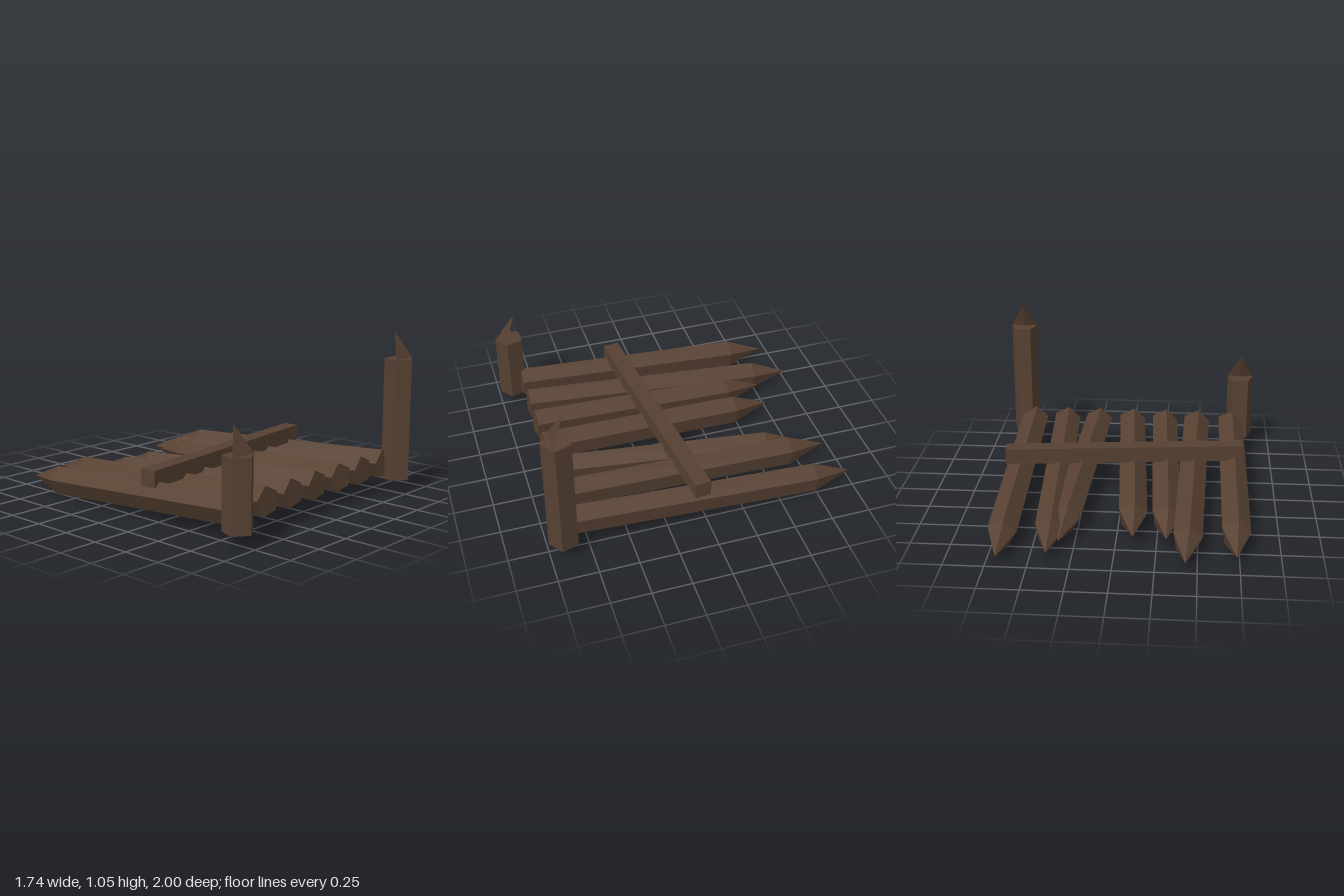
import * as THREE from 'three';

const SIDES = 5, R = 0.094;

export function createModel() {
  const model = new THREE.Group();
  const wood = new THREE.MeshStandardMaterial({ color: 0x574132, flatShading: true });
  const add = (parent, geometry, name) => {
    const mesh = new THREE.Mesh(geometry, wood);
    mesh.name = name;
    parent.add(mesh);
    return mesh;
  };

  // Fallen sharpened stakes: front x, tip x, tip z
  const stakes = [
    [-0.715, -0.73, -0.925], [-0.472, -0.43, -1.0], [-0.24, -0.312, -0.75],
    [-0.005, -0.108, -0.735], [0.235, 0.335, -0.81], [0.468, 0.393, -0.94],
    [0.705, 0.683, -1.0],
  ];
  const frontZ = 0.86, frontY = 0.195, slope = 0.067, tipLength = 0.26, roll = -0.17;
  for (const [x, tipX, tipZ] of stakes) {
    const front = new THREE.Vector3(x, frontY, frontZ);
    const tip = new THREE.Vector3(tipX, frontY - slope * (frontZ - tipZ), tipZ);
    const body = front.distanceTo(tip) - tipLength;
    const stake = new THREE.Group();
    stake.name = 'fallenStake';
    add(stake, new THREE.CylinderGeometry(R, R, body, SIDES, 1, false, roll)
      .translate(0, body / 2, 0).rotateX(-Math.PI / 2), 'stakeShaft');
    add(stake, new THREE.ConeGeometry(R, tipLength, SIDES, 1, true, roll)
      .translate(0, body + tipLength / 2, 0).rotateX(-Math.PI / 2), 'stakePoint');
    stake.position.copy(front);
    stake.lookAt(front.clone().multiplyScalar(2).sub(tip));
    model.add(stake);
  }

  // Cross rail lying over the stakes
  const rail = add(model, new THREE.BoxGeometry(1.57, 0.105, 0.103), 'crossRail');
  rail.position.set(0, 0.268, 0.113);
  rail.rotation.y = 0.106;

  // Thin splinter leaning back from a snapped post top
  const splinter = () => {
    const l = [-0.09, 0, 0.036], r = [0.09, 0, 0.036], b = [0, 0, 0.016], t = [0, 0.172, -0.044];
    const geometry = new THREE.BufferGeometry();
    geometry.setAttribute('position', new THREE.Float32BufferAttribute(
      [l, r, t, r, b, t, b, l, t, l, b, r].flat(), 3));
    geometry.computeVertexNormals();
    return geometry;
  };

  // Standing corner posts: x, top height
  const baseY = 0.093;
  for (const [x, top, name] of [[-0.78, 0.53, 'shortPost'], [0.775, 0.88, 'tallPost']]) {
    const post = new THREE.Group();
    post.name = name;
    post.position.set(x, 0, 0.906);
    add(post, new THREE.CylinderGeometry(R, R, top - baseY, SIDES)
      .translate(0, (top + baseY) / 2, 0), 'postShaft');
    add(post, splinter(), 'postSplinter').position.y = top;
    model.add(post);
  }
  return model;
}
